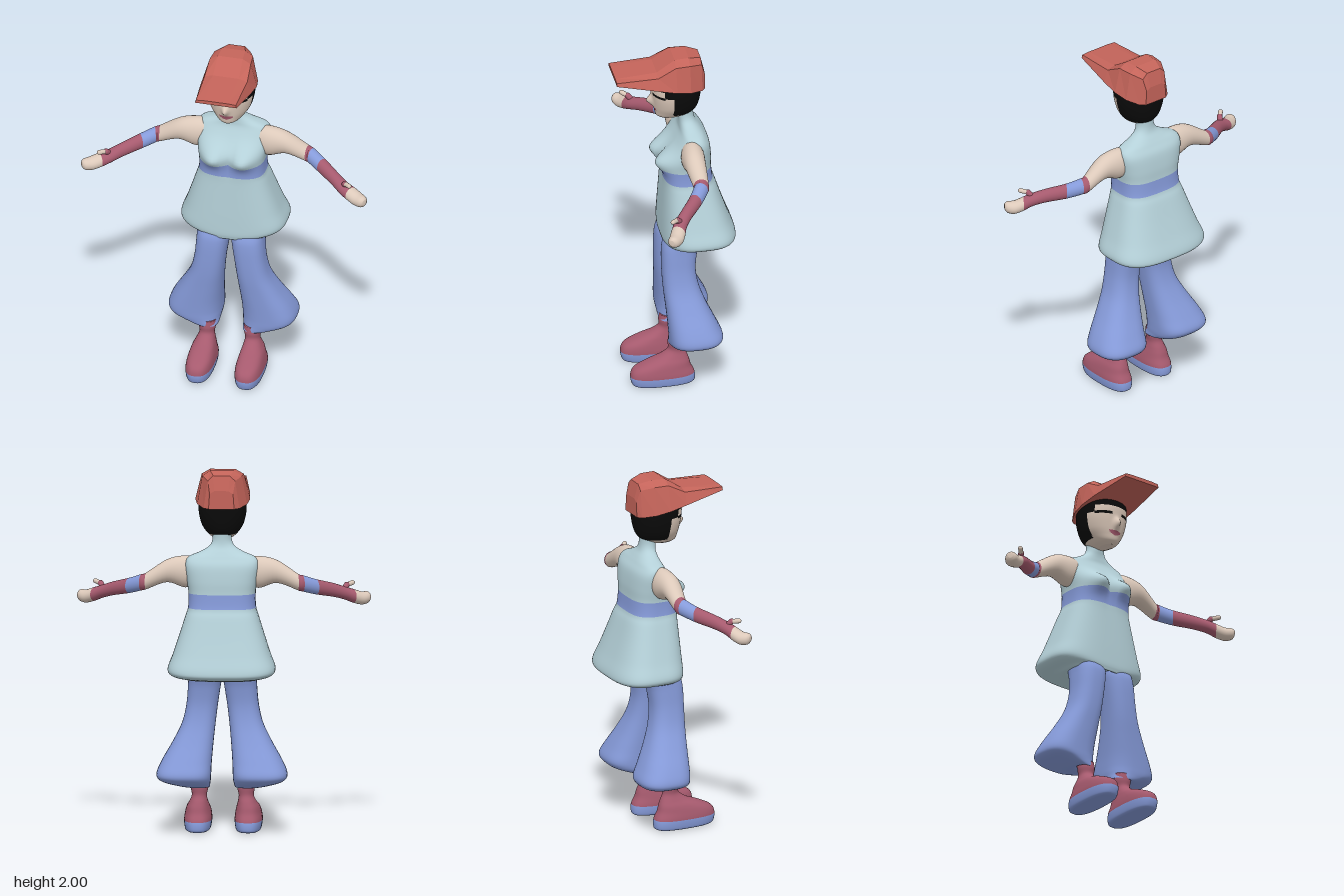
import * as THREE from 'three';

const paint = (name, color) => {
  const m = new THREE.MeshStandardMaterial({ color });
  m.name = name;
  return m;
};
const skin = paint('skin', 0xdcc9ba), hair = paint('black', 0x0a0a0a), red = paint('cap red', 0xc4645a);
const blue = paint('soft blue', 0x869bda), wine = paint('wine', 0xa65a6e), pale = paint('pale blue', 0xb4d0d8);

// Smooth blend through a list of rows; u is a row number with fraction
function rowAt(rows, u) {
  const i = Math.min(Math.floor(u), rows.length - 2), t = u - i;
  const r = (k) => rows[Math.max(0, Math.min(rows.length - 1, k))];
  return rows[i].map((b, k) => {
    const a = r(i - 1)[k], c = r(i + 1)[k], d = r(i + 2)[k];
    return b + 0.5 * t * (c - a + t * (2 * a - 5 * b + 4 * c - d + t * (3 * (b - c) + d - a)));
  });
}

// Closed skin over cross-sections; pick(point, u) gives each quad its material, side -1 mirrors in x
function loft(name, rows, ring, mats, { seg = 40, sub = 5, side = 1, pick = () => 0, flat = false } = {}) {
  const pos = [], lists = mats.map(() => []), n = (rows.length - 1) * sub;
  for (let i = 0; i <= n; i++) {
    const row = rowAt(rows, i / sub);
    for (let j = 0; j < seg; j++) {
      const [x, y, z] = ring(row, j, seg);
      pos.push(side * x, y, z);
    }
  }
  const at = (i) => new THREE.Vector3().fromArray(pos, i * 3);
  const tri = (list, a, b, c) => (side > 0 ? list.push(a, b, c) : list.push(a, c, b));
  for (let i = 0; i < n; i++) {
    for (let j = 0; j < seg; j++) {
      const a = i * seg + j, b = i * seg + ((j + 1) % seg), c = a + seg, d = b + seg;
      const mid = at(a).add(at(b)).add(at(c)).add(at(d)).multiplyScalar(0.25);
      const list = lists[pick(mid, (i + 0.5) / sub)];
      tri(list, a, c, b);
      tri(list, b, c, d);
    }
  }
  // End caps
  for (const [start, u] of [[0, 0], [n * seg, rows.length - 1]]) {
    const mid = new THREE.Vector3();
    for (let j = 0; j < seg; j++) mid.add(at(start + j));
    mid.divideScalar(seg);
    const k = pos.length / 3;
    pos.push(mid.x, mid.y, mid.z);
    const list = lists[pick(mid, u)];
    for (let j = 0; j < seg; j++) {
      const a = start + j, b = start + ((j + 1) % seg);
      if (u === 0) tri(list, k, a, b);
      else tri(list, k, b, a);
    }
  }
  let geo = new THREE.BufferGeometry();
  geo.setAttribute('position', new THREE.Float32BufferAttribute(pos, 3));
  geo.setIndex(lists.flat());
  let from = 0;
  lists.forEach((l, m) => {
    if (l.length) geo.addGroup(from, l.length, m);
    from += l.length;
  });
  if (flat) geo = geo.toNonIndexed();
  geo.computeVertexNormals();
  const mesh = new THREE.Mesh(geo, mats);
  mesh.name = name;
  return mesh;
}

// Level rounded-square ring: row = [y, centre x, half width, back z, front z, squareness]
function level([y, cx, hx, z0, z1, n], j, seg) {
  const a = (j / seg) * Math.PI * 2;
  const p = (v) => Math.sign(v) * Math.pow(Math.abs(v), 2 / n);
  return [cx + hx * p(Math.cos(a)), y, (z0 + z1) / 2 + ((z1 - z0) / 2) * p(Math.sin(a))];
}

// Upright ring across an arm: row = [x, y, z, yaw, half depth, half height]
function across([x, y, z, yaw, rh, rv], j, seg) {
  const a = (j / seg) * Math.PI * 2, h = rh * Math.cos(a);
  return [x - Math.sin(yaw) * h, y + rv * Math.sin(a), z + Math.cos(yaw) * h];
}

const gauss = (v, w) => Math.exp(-((v / w) ** 2));

// Tunic with collar, bust, sash and flared hem
function makeTunic() {
  const rows = [
    [0.87, 0, 0.16, -0.12, 0.04, 2.6], [0.85, 0, 0.19, -0.17, 0.06, 2.8], [0.865, 0, 0.22, -0.27, 0.067, 3],
    [0.885, 0, 0.275, -0.325, 0.07, 3], [0.92, 0, 0.294, -0.33, 0.07, 3], [1.0, 0, 0.265, -0.3, 0.068, 3],
    [1.1, 0, 0.232, -0.265, 0.064, 3], [1.2, 0, 0.2, -0.232, 0.06, 3], [1.25, 0, 0.185, -0.212, 0.06, 3],
    [1.33, 0, 0.183, -0.204, 0.06, 3], [1.4, 0, 0.193, -0.202, 0.045, 3], [1.48, 0, 0.2, -0.19, -0.005, 3],
    [1.525, 0, 0.185, -0.165, -0.03, 2.8], [1.555, 0, 0.12, -0.145, -0.035, 2.4], [1.585, 0, 0.07, -0.125, -0.035, 2.2],
    [1.62, 0, 0.053, -0.117, -0.03, 2], [1.67, 0, 0.053, -0.117, -0.03, 2],
  ];
  const ring = (row, j, seg) => {
    const [x, y, z] = level(row, j, seg);
    if (z < (row[3] + row[4]) / 2) return [x, y, z];
    const bust = 0.06 * gauss(y - 1.37, 0.055) * gauss(Math.abs(x) - 0.085, 0.07);
    return [x, y, z + bust - 0.012 * gauss(x, 0.015) * gauss(y - 1.35, 0.09)];
  };
  return loft('tunic', rows, ring, [pale, blue], { seg: 72, pick: (p, u) => (u > 8 && u < 9 ? 1 : 0) });
}

// Head with nose, closed eyes, lips and short hair as separate faces
function makeHead() {
  const rows = [
    [1.612, 0, 0.03, -0.03, 0.072, 2], [1.63, 0, 0.062, -0.08, 0.092, 2.1], [1.66, 0, 0.09, -0.125, 0.1, 2.1],
    [1.7, 0, 0.114, -0.145, 0.108, 2.1], [1.76, 0, 0.129, -0.155, 0.116, 2.2], [1.82, 0, 0.131, -0.157, 0.12, 2.2],
    [1.87, 0, 0.125, -0.145, 0.11, 2.2], [1.9, 0, 0.1, -0.13, 0.08, 2.2],
  ];
  const ring = (row, j, seg) => {
    const [x, y, z] = level(row, j, seg);
    return [x, y, z > 0 ? z + 0.034 * gauss(x, 0.018) * gauss(y - 1.72, 0.028) : z];
  };
  const pick = ({ x, y, z }) => {
    const ax = Math.abs(x);
    if (y > 1.82 || (z < 0.01 && y > 1.65) || (z < 0.06 && y > 1.78)) return 1;
    if (z > 0 && ax > 0.03 && ax < 0.11 && Math.abs(y - 1.776) < 0.007) return 1;
    if (z > 0.03 && ax < 0.037 && y > 1.652 + ax * 0.5 && y < 1.682) return 2;
    return 0;
  };
  return loft('head', rows, ring, [skin, hair, wine], { seg: 120, sub: 12, pick });
}

// Faceted cap, sections from brim tip to back: [z, top y, top half width, rim y, rim half width]
function makeCap() {
  const rows = [
    [0.33, 1.916, 0.112, 1.895, 0.117], [0.1, 1.933, 0.12, 1.853, 0.145], [0, 1.998, 0.115, 1.832, 0.15],
    [-0.08, 2, 0.108, 1.815, 0.136], [-0.15, 1.982, 0.075, 1.802, 0.098], [-0.17, 1.9, 0.064, 1.8, 0.07],
  ];
  const ring = ([z, yt, xt, yb, xb], j) => {
    const ys = yt - 0.16 * (yt - yb);
    return [[xb, yb, z], [xt, ys, z], [xt * 0.6, yt, z], [-xt * 0.6, yt, z], [-xt, ys, z], [-xb, yb, z]][j];
  };
  return loft('cap', rows, ring, [red], { seg: 6, sub: 1, flat: true });
}

function makeArm(side) {
  const arm = new THREE.Group();
  arm.name = side > 0 ? 'leftArm' : 'rightArm';
  const rows = [
    [0.12, 1.45, -0.08, 0, 0.05, 0.07], [0.2, 1.442, -0.075, 0, 0.064, 0.088], [0.3, 1.445, -0.072, 0, 0.056, 0.063],
    [0.415, 1.388, -0.078, 0.15, 0.042, 0.046], [0.44, 1.38, -0.07, 0.35, 0.04, 0.045],
    [0.51, 1.355, -0.025, 0.6, 0.037, 0.042], [0.6, 1.328, 0.045, 0.65, 0.034, 0.038],
    [0.66, 1.305, 0.088, 0.65, 0.038, 0.036], [0.705, 1.287, 0.108, 0.6, 0.041, 0.038],
    [0.75, 1.272, 0.13, 0.6, 0.04, 0.036], [0.782, 1.274, 0.153, 0.6, 0.031, 0.031], [0.794, 1.278, 0.163, 0.6, 0.014, 0.015],
  ];
  const pick = (p, u) => (u < 3 || u > 8 ? 0 : u > 4 && u < 5 ? 2 : 1);
  arm.add(loft('armAndHand', rows, across, [skin, wine, blue], { seg: 28, side, pick }));
  // Thumb in two joints
  const joints = [[0.655, 1.318, 0.08], [0.672, 1.347, 0.108], [0.702, 1.355, 0.138]];
  const pts = joints.map(([x, y, z]) => new THREE.Vector3(side * x, y, z));
  [wine, skin].forEach((mat, i) => {
    const d = pts[i + 1].clone().sub(pts[i]);
    const joint = new THREE.Mesh(new THREE.CapsuleGeometry(0.016 - i * 0.003, d.length(), 5, 12), mat);
    joint.name = i ? 'thumbTip' : 'thumbBase';
    joint.position.copy(pts[i]).addScaledVector(d, 0.5);
    joint.quaternion.setFromUnitVectors(new THREE.Vector3(0, 1, 0), d.normalize());
    arm.add(joint);
  });
  return arm;
}

function makeLeg(side) {
  const leg = new THREE.Group();
  leg.name = side > 0 ? 'leftLeg' : 'rightLeg';
  // Bell-bottom trouser leg
  leg.add(loft('trouserLeg', [
    [0.265, 0.127, 0.045, -0.04, 0.045, 2.2], [0.248, 0.132, 0.062, -0.08, 0.048, 2.4], [0.275, 0.178, 0.113, -0.18, 0.052, 2.6],
    [0.3, 0.203, 0.142, -0.222, 0.055, 2.7], [0.335, 0.208, 0.149, -0.234, 0.057, 2.7], [0.4, 0.193, 0.137, -0.205, 0.061, 2.6],
    [0.5, 0.16, 0.112, -0.157, 0.068, 2.6], [0.6, 0.13, 0.092, -0.12, 0.076, 2.6], [0.7, 0.112, 0.086, -0.105, 0.08, 2.6],
    [0.8, 0.1, 0.089, -0.115, 0.079, 2.6], [0.86, 0.094, 0.092, -0.13, 0.068, 2.6], [0.93, 0.092, 0.09, -0.14, 0.03, 2.6],
  ], level, [blue], { side }));
  // Ankle boot with a blue sole
  leg.add(loft('boot', [
    [0, 0.138, 0.058, -0.08, 0.235, 2.6], [0.012, 0.138, 0.07, -0.096, 0.252, 2.6], [0.057, 0.138, 0.076, -0.095, 0.26, 2.6],
    [0.1, 0.137, 0.071, -0.075, 0.242, 2.5], [0.135, 0.136, 0.062, -0.066, 0.175, 2.4], [0.165, 0.132, 0.05, -0.055, 0.1, 2.2],
    [0.2, 0.128, 0.041, -0.04, 0.052, 2], [0.24, 0.127, 0.048, -0.042, 0.05, 2], [0.28, 0.127, 0.048, -0.042, 0.045, 2],
  ], level, [wine, blue], { side, pick: (p, u) => (u < 2 ? 1 : 0) }));
  return leg;
}

export function createModel() {
  const model = new THREE.Group();
  model.name = 'figure';
  model.add(makeTunic(), makeHead(), makeCap());
  for (const side of [1, -1]) model.add(makeArm(side), makeLeg(side));
  return model;
}
